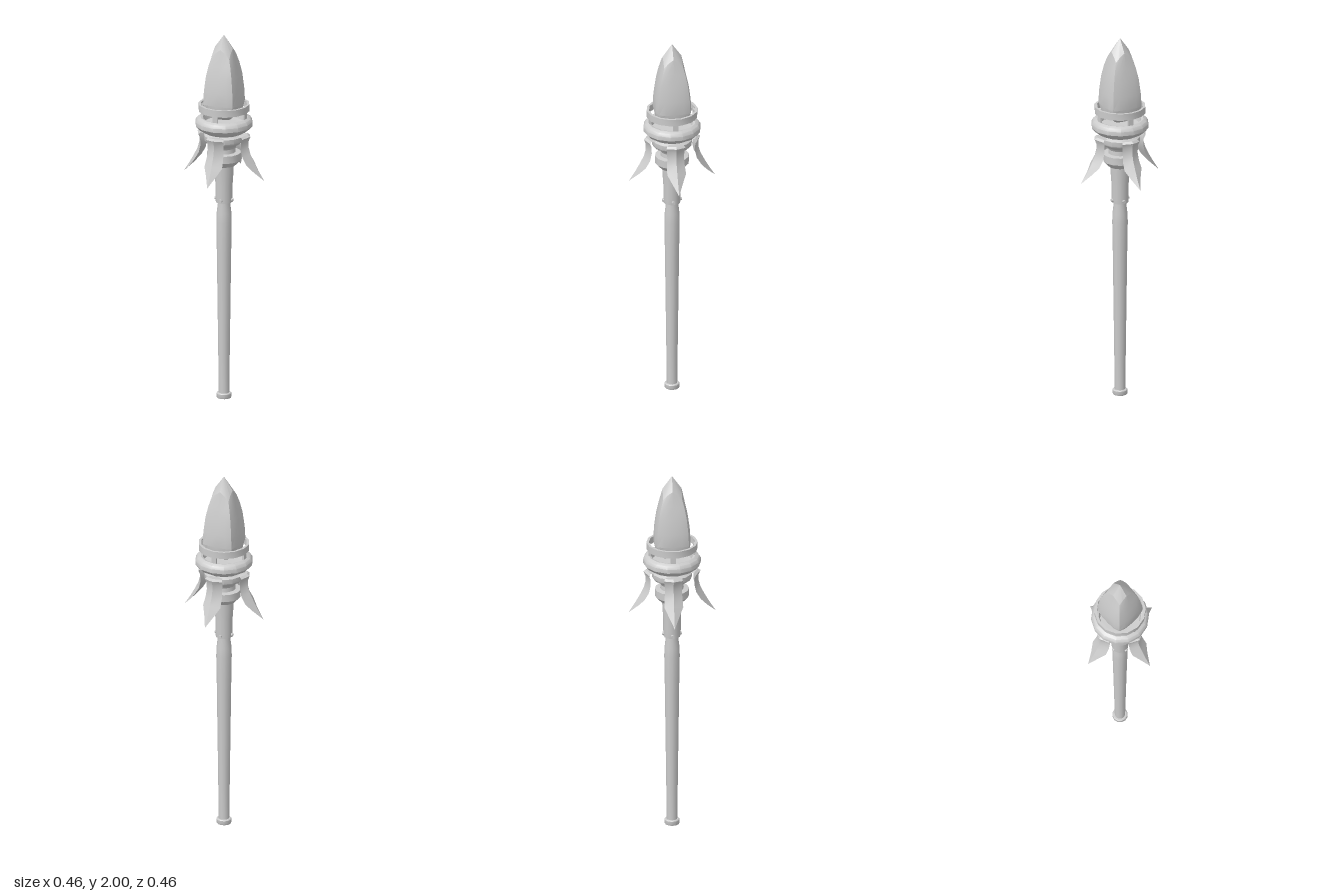
import * as THREE from 'three';
import { toCreasedNormals } from 'three/addons/utils/BufferGeometryUtils.js';

const smooth = new THREE.MeshStandardMaterial({ color: 0xcccccc });
const thin = new THREE.MeshStandardMaterial({ color: 0xcccccc, side: THREE.DoubleSide });

function addMesh(parent, name, geometry, material = smooth) {
  const mesh = new THREE.Mesh(geometry, material);
  mesh.name = name;
  parent.add(mesh);
  return mesh;
}

// Turned part from [radius, height] pairs
function turned(profile, sides) {
  const points = profile.map(([r, y]) => new THREE.Vector2(r, y));
  return toCreasedNormals(new THREE.LatheGeometry(points, sides), 0.6);
}

// Skin a grid of cross-sections (each an array of [x, y, z])
function loft(rows, closed, crease) {
  const n = rows[0].length;
  const index = [];
  for (let i = 0; i < rows.length - 1; i++) {
    for (let j = 0; j < (closed ? n : n - 1); j++) {
      const a = i * n + j, b = i * n + (j + 1) % n;
      index.push(a, a + n, b, b, a + n, b + n);
    }
  }
  const geometry = new THREE.BufferGeometry();
  geometry.setAttribute('position', new THREE.Float32BufferAttribute(rows.flat(2), 3));
  geometry.setIndex(index);
  return toCreasedNormals(geometry, crease);
}

// Rounded-square crystal; each row is [side y, side distance, corner y, corner distance]
function crystalGeometry() {
  const rows = [
    [1.53, 0, 1.53, 0],
    [1.545, 0.045, 1.545, 0.04],
    [1.585, 0.088, 1.585, 0.075],
    [1.63, 0.097, 1.63, 0.084],
    [1.70, 0.093, 1.70, 0.081],
    [1.78, 0.082, 1.78, 0.073],
    [1.85, 0.067, 1.84, 0.062],
    [1.93, 0.05, 1.885, 0.05],
    [2, 0, 2, 0],
  ].map(([ys, s, yc, c]) => {
    const ring = [];
    for (let q = 0; q < 4; q++) {
      const cos = Math.round(Math.cos(q * Math.PI / 2));
      const sin = Math.round(Math.sin(q * Math.PI / 2));
      const half = [s * 0.82 + c * 0.18, (ys + yc) / 2, c * 0.6];
      const quarter = [[half[0], half[1], -half[2]], [s, ys, 0], half, [c, yc, c]];
      for (const [x, y, z] of quarter) ring.push([x * cos - z * sin, y, x * sin + z * cos]);
    }
    return ring;
  });
  return loft(rows, true, 0.3);
}

// Ridged, outward-flaring leaf; rows are [ridge r, ridge y, edge r, edge y, half width]
function finGeometry() {
  const rows = [
    [0.23, 1.22, 0.23, 1.22, 0],
    [0.195, 1.275, 0.18, 1.27, 0.028],
    [0.17, 1.32, 0.148, 1.31, 0.05],
    [0.15, 1.36, 0.124, 1.35, 0.047],
    [0.14, 1.395, 0.115, 1.39, 0.044],
    [0.14, 1.43, 0.116, 1.43, 0.047],
    [0.15, 1.455, 0.125, 1.45, 0.05],
    [0.135, 1.464, 0.115, 1.46, 0.045],
    [0.095, 1.462, 0.09, 1.455, 0.035],
  ].map(([r, y, er, ey, w]) => [[er, ey, -w], [r, y, 0], [er, ey, w]]);
  return loft(rows, false, 0.5);
}

export function createModel() {
  const model = new THREE.Group();
  model.name = 'spearStaff';

  // Handle
  addMesh(model, 'pommel', turned([[0, 0], [0.038, 0], [0.04, 0.004], [0.04, 0.024], [0.036, 0.028], [0, 0.028]], 12));
  addMesh(model, 'shaft', turned([
    [0.028, 0.02], [0.03, 0.2], [0.034, 0.5], [0.038, 0.8], [0.041, 0.97], [0.039, 1.02], [0.033, 1.07], [0.033, 1.1],
  ], 12));
  addMesh(model, 'sleeve', turned([
    [0.03, 1.08], [0.044, 1.08], [0.046, 1.11], [0.046, 1.18], [0.051, 1.25], [0.052, 1.3],
  ], 14));

  // Collar, neck and flared cup under the disc
  addMesh(model, 'collar', turned([
    [0.05, 1.285], [0.062, 1.285], [0.09, 1.315], [0.09, 1.355], [0.062, 1.358], [0.06, 1.385],
  ], 14));
  addMesh(model, 'neck', turned([
    [0.06, 1.38], [0.068, 1.395], [0.1, 1.415], [0.106, 1.425], [0.106, 1.45], [0.09, 1.46], [0.085, 1.475],
  ], 14));

  // Disc holding the crystal, and the raised ring above it
  addMesh(model, 'disc', turned([
    [0, 1.465], [0.1, 1.465], [0.135, 1.485], [0.152, 1.505], [0.152, 1.527], [0.142, 1.542],
    [0.125, 1.55], [0.112, 1.546], [0.105, 1.515], [0, 1.51],
  ], 14));
  addMesh(model, 'upperRing', turned([
    [0.122, 1.585], [0.135, 1.585], [0.135, 1.622], [0.122, 1.622], [0.122, 1.585],
  ], 14));
  addMesh(model, 'crystal', crystalGeometry());

  // Fins, posts and studs repeat on the four sides
  const fin = finGeometry();
  const post = new THREE.BoxGeometry(0.011, 0.075, 0.028);
  const stud = new THREE.CylinderGeometry(0.008, 0.01, 0.012, 8).rotateZ(-Math.PI / 2);
  for (let i = 0; i < 4; i++) {
    const side = new THREE.Group();
    side.name = 'side' + (i + 1);
    side.rotation.y = i * Math.PI / 2;
    addMesh(side, 'fin', fin, thin);
    addMesh(side, 'post', post).position.set(0.118, 1.575, 0);
    addMesh(side, 'stud', stud).position.set(0.046, 1.095, 0);
    model.add(side);
  }
  return model;
}
